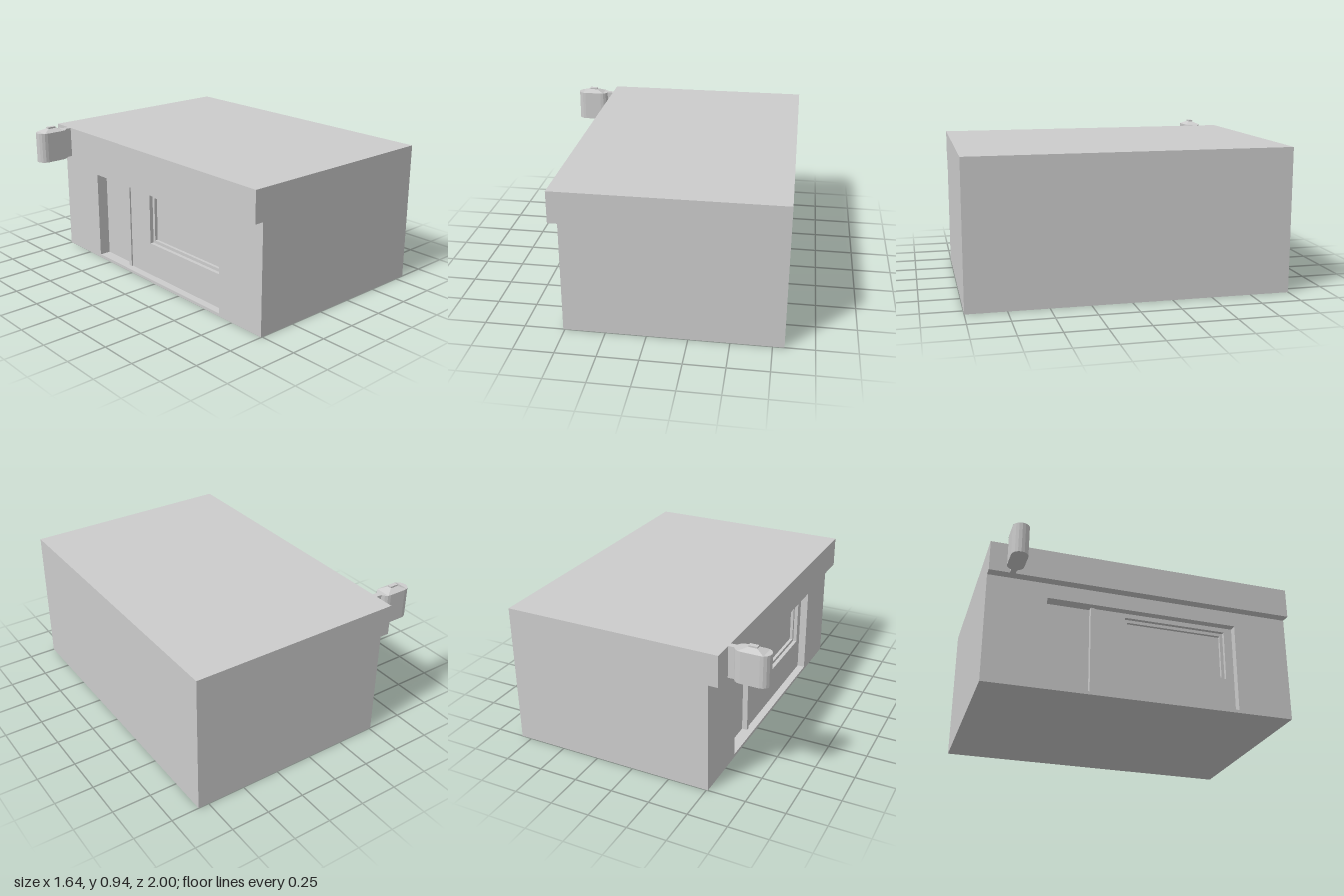
import * as THREE from 'three';

const plaster = new THREE.MeshStandardMaterial({ color: 0xcccccc });
plaster.name = 'plaster grey';

function add(parent, name, geometry) {
  const mesh = new THREE.Mesh(geometry, plaster);
  mesh.name = name;
  parent.add(mesh);
  return mesh;
}

// Box given by its limits on each axis
function boxBetween(x0, x1, y0, y1, z0, z1) {
  return new THREE.BoxGeometry(x1 - x0, y1 - y0, z1 - z0)
    .translate((x0 + x1) / 2, (y0 + y1) / 2, (z0 + z1) / 2);
}

function rectangle(path, [z0, z1, y0, y1]) {
  return path.moveTo(z0, y0).lineTo(z1, y0).lineTo(z1, y1).lineTo(z0, y1).closePath();
}

// Wall layer facing -x, with rectangular openings given as [z0, z1, y0, y1]
function wallLayer(x0, x1, openings) {
  const shape = rectangle(new THREE.Shape(), [-1, 1, 0, 0.91]);
  openings.forEach((o) => shape.holes.push(rectangle(new THREE.Path(), o)));
  return new THREE.ExtrudeGeometry(shape, { depth: x1 - x0, bevelEnabled: false })
    .rotateY(-Math.PI / 2).translate(x1, 0, 0);
}

// Four-sided frustum standing on y = 0
function frustum(w0, d0, w1, d1, h) {
  const g = new THREE.BoxGeometry(1, h, 1).translate(0, h / 2, 0);
  const p = g.attributes.position;
  for (let i = 0; i < p.count; i++) {
    const top = p.getY(i) > h / 2;
    p.setX(i, p.getX(i) * (top ? w1 : w0));
    p.setZ(i, p.getZ(i) * (top ? d1 : d0));
  }
  const flat = g.toNonIndexed();
  flat.computeVertexNormals();
  return flat;
}

export function createModel() {
  const model = new THREE.Group();
  model.name = 'shopBuilding';

  // Building, with the shop front stepped into its -x side
  const building = new THREE.Group();
  building.name = 'building';
  model.add(building);
  add(building, 'mainBlock', boxBetween(-0.415, 0.82, 0, 0.91, -1, 1));
  add(building, 'outerWall', wallLayer(-0.51, -0.46, [[-0.62, 0.635, 0.02, 0.61]]));
  add(building, 'shopFront', wallLayer(-0.46, -0.435, [
    [-0.62, -0.33, 0.02, 0.61], // doorway
    [-0.1, 0.58, 0.245, 0.58], // window
  ]));
  add(building, 'windowFrame', wallLayer(-0.435, -0.415, [[-0.08, 0.56, 0.265, 0.56]]));
  add(building, 'doorPost', boxBetween(-0.47, -0.46, 0.02, 0.61, -0.33, -0.305));
  add(building, 'fasciaOverhang', boxBetween(-0.57, -0.51, 0.71, 0.91, -1, 1));

  // Hanging sign beside the fascia
  const sign = new THREE.Group();
  sign.name = 'hangingSign';
  sign.position.set(-0.715, 0.71, -0.853);
  model.add(sign);
  const r = 0.052, half = 0.058;
  const outline = new THREE.Shape();
  outline.absarc(half, 0, r, -Math.PI / 2, Math.PI / 2);
  outline.absarc(-half, 0, r, Math.PI / 2, Math.PI * 1.5);
  add(sign, 'signBody', new THREE.ExtrudeGeometry(outline, {
    depth: 0.2, bevelEnabled: false, curveSegments: 4,
  }).rotateX(-Math.PI / 2));
  add(sign, 'signCap', frustum(0.155, 0.1, 0.055, 0.03, 0.02)).position.y = 0.2;
  add(sign, 'signKnob', boxBetween(-0.027, 0.027, 0.218, 0.23, -0.014, 0.014));
  add(sign, 'signBracket', boxBetween(0.1, 0.146, 0, 0.2, -0.018, 0.018));

  return model;
}
